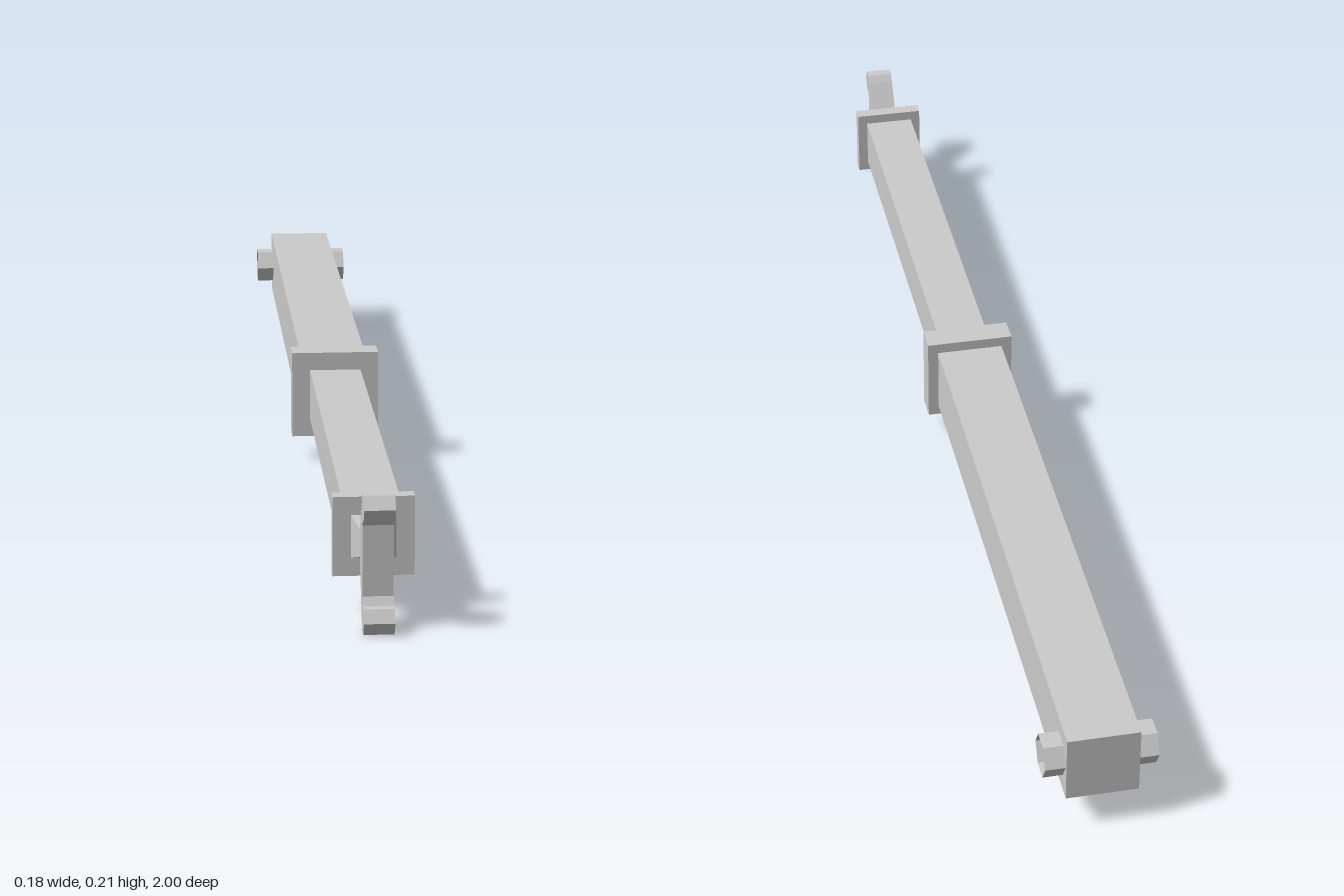
import * as THREE from 'three';

const AXIS_Y = 0.121; // height of the tube axis

export function createModel() {
  const group = new THREE.Group();
  const material = new THREE.MeshStandardMaterial({ color: 0xcccccc, flatShading: true });
  const openMaterial = material.clone();
  openMaterial.side = THREE.DoubleSide;

  function add(name, geometry, mat = material) {
    const mesh = new THREE.Mesh(geometry, mat);
    mesh.name = name;
    group.add(mesh);
    return mesh;
  }

  // Square section running along z
  function bar(name, half, z0, z1) {
    const mesh = add(name, new THREE.BoxGeometry(half * 2, half * 2, z1 - z0));
    mesh.position.set(0, AXIS_Y, (z0 + z1) / 2);
  }

  // Telescoping square tubes and their flanges
  bar('outerTube', 0.057, -1, 0.036);
  bar('collar', 0.075, 0.034, 0.079);
  bar('innerTube', 0.044, 0.079, 0.868);
  bar('endFlange', 0.0615, 0.865, 0.888);

  // Open hexagonal pivot sleeve crossing the rear end
  const pivot = new THREE.CylinderGeometry(0.034, 0.034, 0.177, 6, 1, true);
  pivot.rotateZ(Math.PI / 2);
  add('pivotSleeve', pivot, openMaterial).position.set(0, AXIS_Y, -0.96);

  // Neck tapering from the flange to the fork
  const neck = new THREE.BoxGeometry(0.07, 0.069, 0.036);
  const p = neck.attributes.position;
  for (let i = 0; i < p.count; i++) {
    if (p.getZ(i) > 0) p.setXY(i, p.getX(i) * 0.66, p.getY(i) * 0.62);
  }
  neck.computeVertexNormals();
  add('neck', neck).position.set(0, AXIS_Y, 0.903);

  // Two-armed fork with hooked tips: side profile as (z, y)
  const profile = [
    [0.917, 0.1], [0.958, 0.012], [0.968, 0.001], [0.986, 0.001],
    [0.999, 0.022], [0.988, 0.041], [0.975, 0.041], [0.967, 0.054],
    [0.967, 0.163], [0.975, 0.175], [0.988, 0.175], [0.999, 0.195],
    [0.986, 0.214], [0.968, 0.214], [0.958, 0.202], [0.917, 0.142],
  ];
  const shape = new THREE.Shape(profile.map(([z, y]) => new THREE.Vector2(-z, y)));
  const fork = new THREE.ExtrudeGeometry(shape, { depth: 0.046, bevelEnabled: false });
  fork.translate(0, 0, -0.023);
  fork.rotateY(Math.PI / 2); // shape x becomes -z
  add('fork', fork);

  return group;
}
